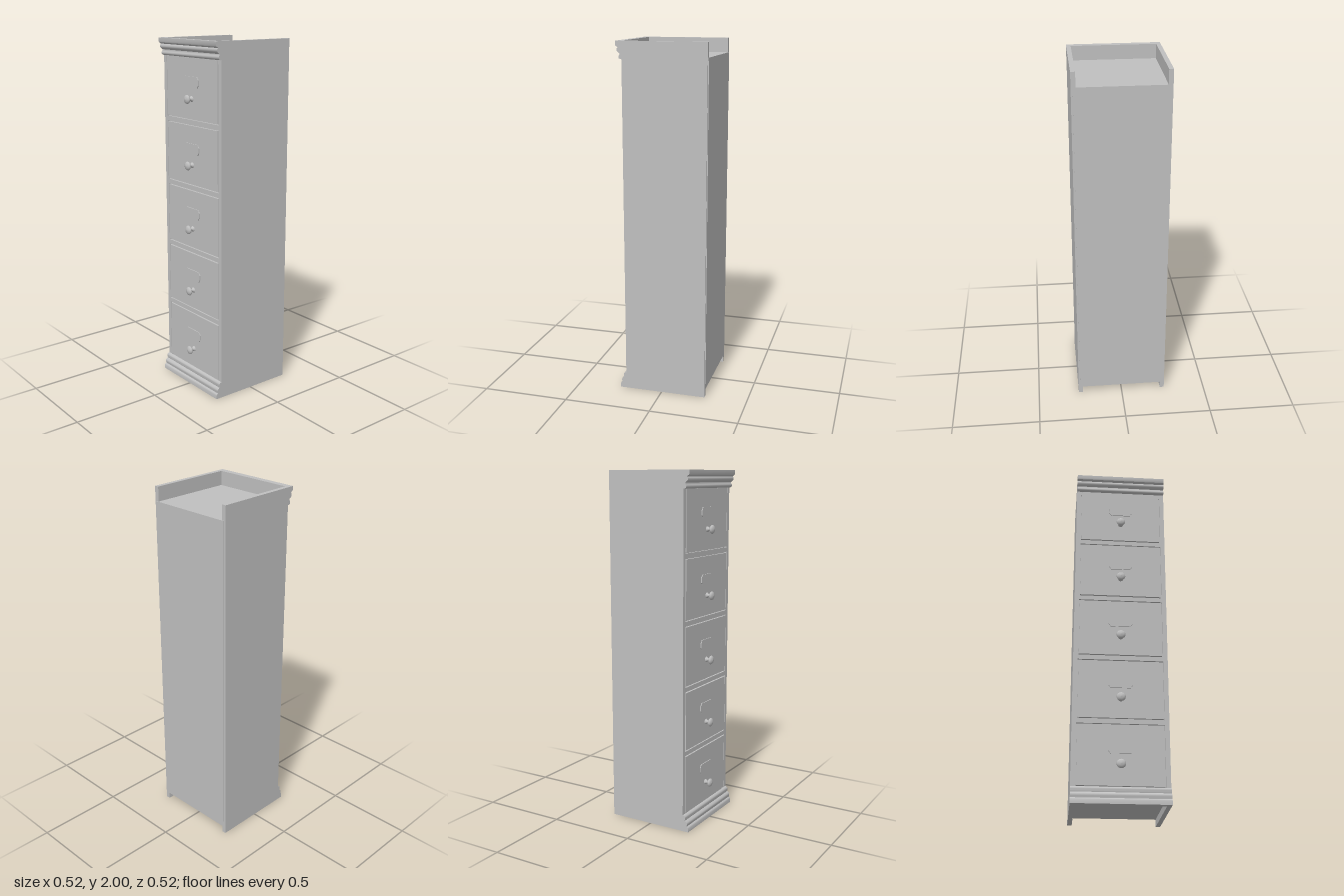
import * as THREE from 'three';
import { toCreasedNormals } from 'three/addons/utils/BufferGeometryUtils.js';

const HALF = 0.26;      // half width of the cabinet
const INNER = 0.235;    // half width between the side panels
const FRONT = 0.215;    // front of the face frame
const BACK = -0.256;    // rear edge of the side panels

export function createModel() {
  const model = new THREE.Group();
  model.name = 'drawerTower';
  const paint = new THREE.MeshStandardMaterial({ color: 0xbfbfbf });
  paint.name = 'greyPaint';

  const add = (name, geometry, parent = model) => {
    const mesh = new THREE.Mesh(geometry, paint);
    mesh.name = name;
    parent.add(mesh);
    return mesh;
  };
  // Box given by its minimum and maximum on each axis
  const box = (name, x0, x1, y0, y1, z0, z1, parent) => {
    const mesh = add(name, new THREE.BoxGeometry(x1 - x0, y1 - y0, z1 - z0), parent);
    mesh.position.set((x0 + x1) / 2, (y0 + y1) / 2, (z0 + z1) / 2);
    return mesh;
  };

  // Carcass: full-height sides, recessed top and floor, thin back sheet
  box('leftSide', INNER, HALF, 0, 2, BACK, FRONT);
  box('rightSide', -HALF, -INNER, 0, 2, BACK, FRONT);
  box('topPanel', -INNER, INNER, 1.88, 1.92, BACK, FRONT - 0.001);
  box('floorPanel', -INNER, INNER, 0.04, 0.08, BACK, FRONT - 0.001);
  box('backPanel', -0.25, 0.25, 0.08, 1.92, -0.26, BACK);
  box('innerFace', -INNER, INNER, 0.08, 1.88, 0.19, 0.203);

  // Mouldings: a (z, y) profile extruded across the width
  const moulding = (name, profile) => {
    const shape = new THREE.Shape(profile.map(([z, y]) => new THREE.Vector2(z, y)));
    const geometry = new THREE.ExtrudeGeometry(shape, { depth: 2 * HALF, bevelEnabled: false });
    geometry.rotateY(-Math.PI / 2);
    geometry.translate(HALF, 0, 0);
    add(name, toCreasedNormals(geometry, 0.7));
  };
  moulding('crownMoulding', [
    [FRONT, 2], [FRONT, 1.904], [0.222, 1.904], [0.229, 1.908], [0.232, 1.915],
    [0.231, 1.922], [0.226, 1.928], [0.226, 1.935], [0.232, 1.939], [0.239, 1.945],
    [0.242, 1.952], [0.241, 1.960], [0.236, 1.966], [0.240, 1.970], [0.247, 1.973],
    [0.250, 1.979], [0.250, 2],
  ]);
  moulding('baseMoulding', [
    [FRONT, 0], [0.250, 0], [0.250, 0.022], [0.247, 0.028], [0.240, 0.032],
    [0.241, 0.040], [0.243, 0.047], [0.241, 0.055], [0.234, 0.061], [0.228, 0.065],
    [0.230, 0.072], [0.231, 0.080], [0.229, 0.088], [0.223, 0.094], [FRONT, 0.096],
  ]);

  // Label plate outline with stepped, bulging ends
  const half = [[0.056, -0.03], [0.060, -0.021], [0.067, -0.014], [0.067, 0.014], [0.060, 0.021], [0.056, 0.03]];
  const outline = [...half, ...half.map(([x, y]) => [-x, -y])];
  const plateShape = new THREE.Shape(outline.map(([x, y]) => new THREE.Vector2(x, y)));
  const plateGeometry = new THREE.ExtrudeGeometry(plateShape, { depth: 0.006, bevelEnabled: false });

  // Turned knob, its axis pointing forward
  const knobProfile = [
    [0.016, 0], [0.015, 0.004], [0.009, 0.009], [0.008, 0.018], [0.013, 0.022],
    [0.022, 0.026], [0.025, 0.031], [0.022, 0.037], [0.013, 0.042], [0, 0.044],
  ].map(([r, h]) => new THREE.Vector2(r, h));
  const knobGeometry = new THREE.LatheGeometry(knobProfile, 24);
  knobGeometry.rotateX(Math.PI / 2);

  // Five drawers with rails between them
  const pitch = 0.3675;
  for (let i = 0; i < 5; i++) {
    const y = 0.096 + i * pitch;
    const drawer = new THREE.Group();
    drawer.name = 'drawer' + (i + 1);
    model.add(drawer);
    box('drawerFront', -0.23, 0.23, y + 0.005, y + 0.335, 0.2, FRONT + 0.001, drawer);
    add('labelPlate', plateGeometry, drawer).position.set(0, y + 0.206, FRONT);
    add('knob', knobGeometry, drawer).position.set(0, y + 0.115, FRONT + 0.001);
    if (i < 4) box('rail' + (i + 1), -INNER, INNER, y + 0.341, y + 0.3665, 0.2, FRONT);
  }
  return model;
}
